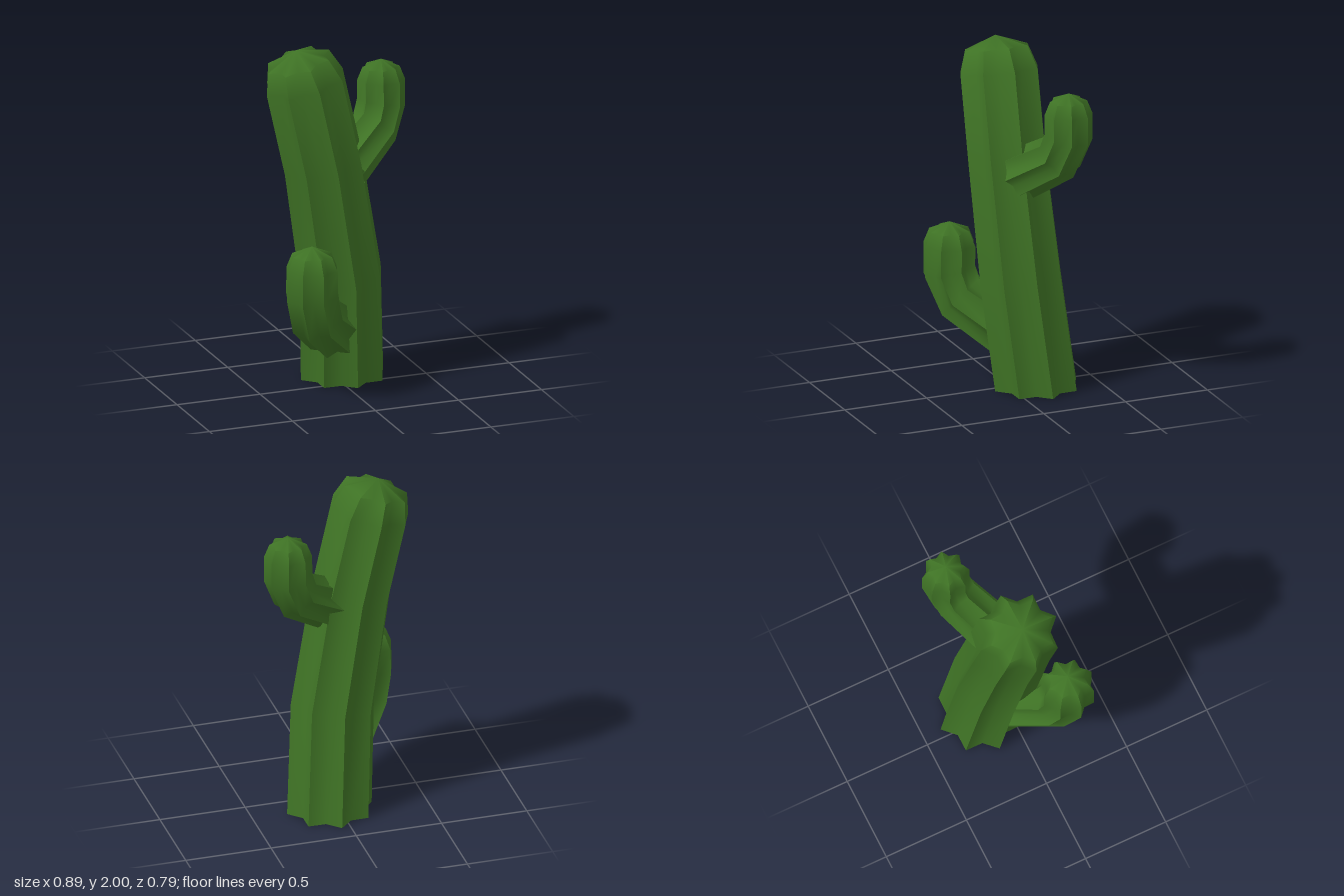
import * as THREE from 'three';
import { toCreasedNormals } from 'three/addons/utils/BufferGeometryUtils.js';

const RIBS = 8, SIDES = RIBS * 2, VALLEY = 0.77;
const UP = new THREE.Vector3(0, 1, 0);

// Ribbed stem: star-shaped rings [x, y, z, radius] swept along a path, closed by a pointed tip.
function ribbedStem(rings, phase, flatBase) {
  const centres = rings.map(([x, y, z]) => new THREE.Vector3(x, y, z));
  const last = rings.length - 1; // final entry is the apex
  const positions = [], index = [];
  for (let i = 0; i < last; i++) {
    const tangent = centres[i + 1].clone().sub(centres[Math.max(i - 1, 0)]).normalize();
    if (i === 0 && flatBase) tangent.copy(UP);
    const turn = new THREE.Quaternion().setFromUnitVectors(UP, tangent);
    for (let k = 0; k < SIDES; k++) {
      const a = phase + (k / SIDES) * Math.PI * 2;
      const r = rings[i][3] * (k % 2 ? VALLEY : 1);
      const p = new THREE.Vector3(Math.cos(a) * r, 0, Math.sin(a) * r).applyQuaternion(turn).add(centres[i]);
      positions.push(p.x, p.y, p.z);
    }
  }
  positions.push(...centres[last].toArray());
  const apex = last * SIDES;
  for (let i = 0; i < last; i++) {
    for (let k = 0; k < SIDES; k++) {
      const a = i * SIDES + k, b = i * SIDES + (k + 1) % SIDES;
      if (i === last - 1) index.push(a, apex, b);
      else index.push(a, a + SIDES, b, b, a + SIDES, b + SIDES);
    }
  }
  const geometry = new THREE.BufferGeometry();
  geometry.setAttribute('position', new THREE.Float32BufferAttribute(positions, 3));
  geometry.setIndex(index);
  // Rib crests stay sharp, valleys stay smooth
  return toCreasedNormals(geometry, THREE.MathUtils.degToRad(60));
}

// Arm profile relative to its tip: [distance outward, height, radius]
const ARM = [
  [-0.33, -0.55, 0.15],
  [-0.06, -0.39, 0.14],
  [0, -0.255, 0.138],
  [0, -0.12, 0.135],
  [0, -0.045, 0.105],
  [0, 0, 0],
];

function armGeometry(tip, angle, scale) {
  const dx = Math.cos(angle), dz = Math.sin(angle);
  const rings = ARM.map(([s, y, r]) => [
    tip[0] + dx * s * scale, tip[1] + y * scale, tip[2] + dz * s * scale, r * scale,
  ]);
  return ribbedStem(rings, angle, false);
}

export function createModel() {
  const green = new THREE.MeshStandardMaterial({ color: 0x3f7325, side: THREE.DoubleSide });
  green.name = 'cactus green';
  const group = new THREE.Group();
  group.name = 'cactus';
  const add = (name, geometry) => {
    const mesh = new THREE.Mesh(geometry, green);
    mesh.name = name;
    group.add(mesh);
  };

  // Leaning trunk, open underneath
  add('trunk', ribbedStem([
    [0.05, 0, -0.145, 0.248],
    [0.01, 0.63, -0.07, 0.245],
    [-0.105, 1.31, -0.037, 0.235],
    [-0.217, 1.805, -0.036, 0.235],
    [-0.255, 1.93, -0.036, 0.19],
    [-0.27, 2.0, -0.036, 0],
  ], 0, true));

  // Two upturned arms
  add('lowerArm', armGeometry([-0.28, 0.925, 0.24], THREE.MathUtils.degToRad(131), 1.13));
  add('upperArm', armGeometry([0.318, 1.815, -0.23], THREE.MathUtils.degToRad(-30), 1));
  return group;
}
